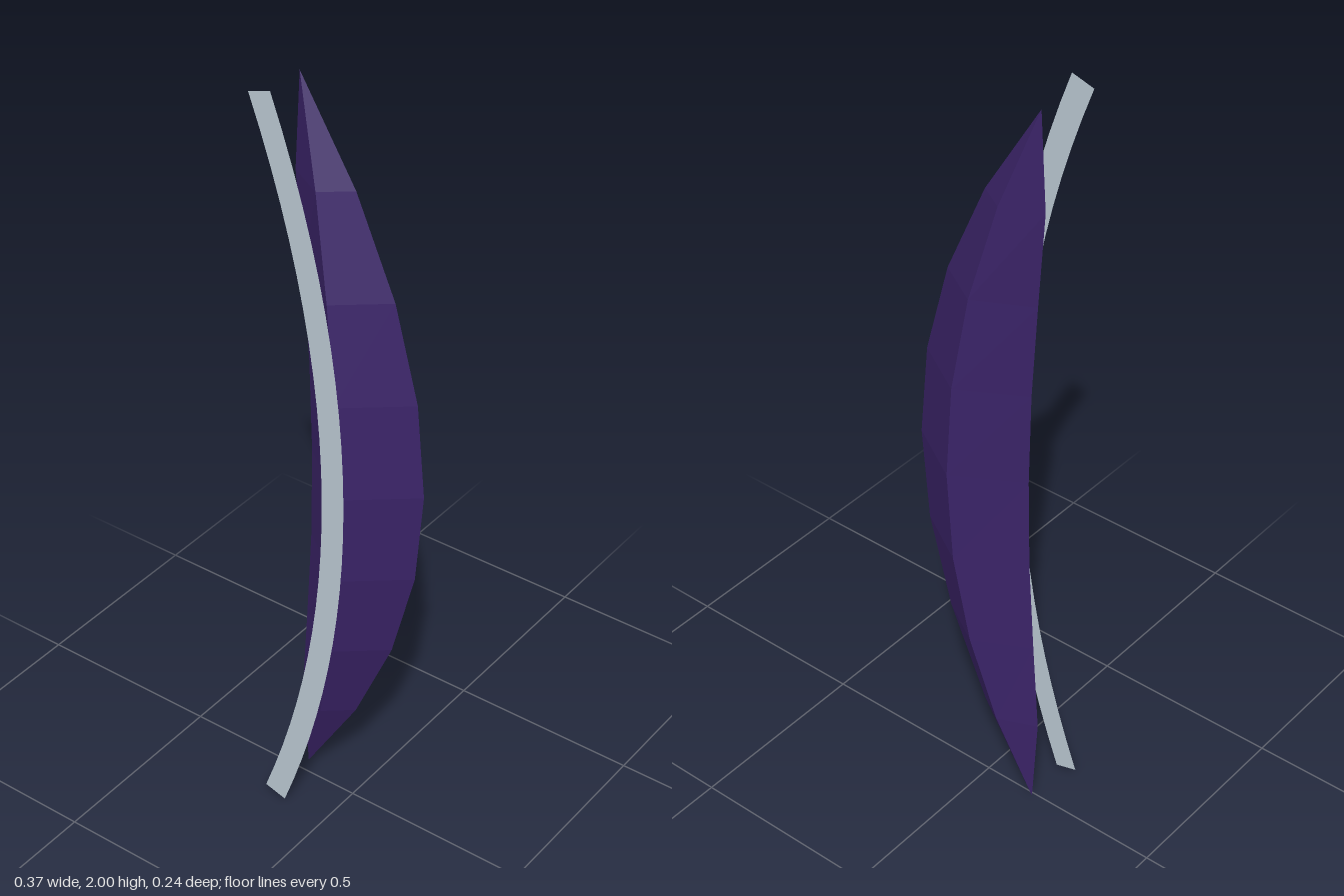
import * as THREE from 'three';

const purple = new THREE.MeshStandardMaterial({ color: 0x3a2367 });
purple.name = 'deep purple';
const silver = new THREE.MeshStandardMaterial({ color: 0xbac8d2, side: THREE.DoubleSide });
silver.name = 'pale silver';

// shared bow of the centre line, s runs from -1 (bottom) to 1 (top)
const centreX = (s) => 0.03 - 0.187 * s * s;

// crescent body: diamond cross-sections that taper to a point at both ends
function bodyGeometry() {
  const leftEdge = [-0.135, -0.14, -0.155, -0.172, -0.157]; // from middle to tip
  const rings = [];
  for (let i = -4; i <= 4; i++) {
    const s = i / 4, y = 1 + 0.985 * s, taper = 1 - s * s, ridgeZ = -0.022;
    rings.push([
      [-0.157 + 0.344 * taper, y, ridgeZ],
      [centreX(s), y, ridgeZ + 0.127 * taper],
      [leftEdge[Math.abs(i)], y, ridgeZ],
      [centreX(s), y, ridgeZ - 0.096 * taper],
    ]);
  }
  const points = [];
  for (let i = 0; i < 8; i++) {
    for (let j = 0; j < 4; j++) {
      const k = (j + 1) % 4;
      const a = rings[i][j], b = rings[i][k], c = rings[i + 1][j], d = rings[i + 1][k];
      if (i > 0) points.push(...a, ...c, ...b);
      if (i < 7) points.push(...b, ...c, ...d);
      if (i === 0) points.push(); // bottom tip needs one triangle only
    }
  }
  const geometry = new THREE.BufferGeometry();
  geometry.setAttribute('position', new THREE.Float32BufferAttribute(points, 3));
  geometry.computeVertexNormals();
  return geometry;
}

// flat ribbon of constant width following the bow, just in front of the body
function ribbonGeometry() {
  const geometry = new THREE.PlaneGeometry(2, 2, 1, 24);
  const p = geometry.attributes.position;
  for (let i = 0; i < p.count; i++) {
    const side = p.getX(i), s = p.getY(i);
    const across = new THREE.Vector2(1, 0.3 * s).normalize().multiplyScalar(0.031 * side);
    p.setXYZ(i, centreX(s) + across.x, 1 + 0.9915 * s + across.y, 0.118);
  }
  geometry.computeVertexNormals();
  return geometry;
}

export function createModel() {
  const model = new THREE.Group();
  model.name = 'crescentBlade';
  const body = new THREE.Mesh(bodyGeometry(), purple);
  body.name = 'crescentBody';
  const ribbon = new THREE.Mesh(ribbonGeometry(), silver);
  ribbon.name = 'edgeRibbon';
  model.add(body, ribbon);
  return model;
}
